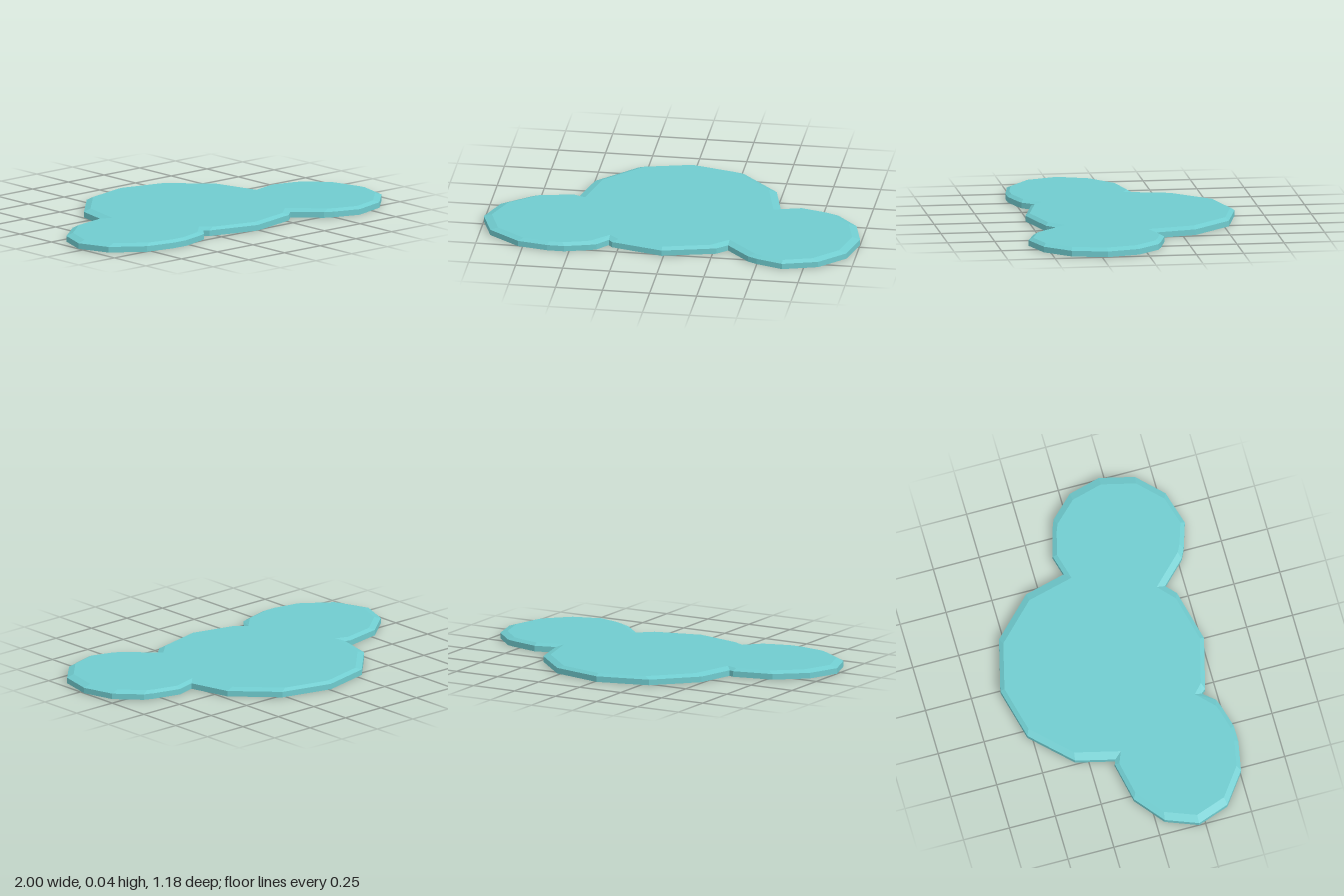
import * as THREE from 'three';

const WALL = 0.03, TOP = 0.043;            // wall height, total height
const BEVEL_X = 0.042, BEVEL_Z = 0.02;     // bevel width along each axis

// Outline in x, z: centre lobe back, +x lobe, centre lobe front, -x lobe
const OUTLINE = [
  [-0.01, -0.595], [0.27, -0.525], [0.475, -0.32], [0.53, -0.1],
  [0.64, -0.13], [0.79, -0.09], [0.84, -0.07], [0.955, 0.05], [1, 0.22], [0.955, 0.405],
  [0.825, 0.535], [0.64, 0.59], [0.5, 0.545], [0.45, 0.52], [0.325, 0.395],
  [0.27, 0.445], [-0.01, 0.515], [-0.285, 0.445], [-0.305, 0.42],
  [-0.36, 0.485], [-0.4, 0.5], [-0.525, 0.535], [-0.615, 0.535], [-0.775, 0.505],
  [-0.94, 0.385], [-1, 0.215], [-0.935, 0.045], [-0.78, -0.08], [-0.565, -0.125], [-0.54, -0.115],
  [-0.49, -0.32], [-0.29, -0.525],
].map(([x, z]) => new THREE.Vector2(x, z));

// Move each corner inward along its mitre, with a different width in x and z
function inset(points) {
  const scale = new THREE.Vector2(BEVEL_X, BEVEL_Z);
  const p = points.map((v) => v.clone().divide(scale));
  const n = p.length;
  const normal = (a, b) => new THREE.Vector2(a.y - b.y, b.x - a.x).normalize();
  return p.map((v, i) => {
    const n1 = normal(p[(i + n - 1) % n], v);
    const n2 = normal(v, p[(i + 1) % n]);
    const mitre = n1.clone().add(n2).divideScalar(Math.max(1 + n1.dot(n2), 0.4));
    return v.clone().add(mitre).multiply(scale);
  });
}

function slabGeometry() {
  const ring = (points, y) => points.map((v) => new THREE.Vector3(v.x, y, v.y));
  const inner = inset(OUTLINE);
  const rings = [ring(OUTLINE, 0), ring(OUTLINE, WALL), ring(inner, TOP)];
  const out = [];
  const tri = (...corners) => corners.forEach((c) => out.push(c.x, c.y, c.z));

  // Wall and bevel bands
  for (let r = 0; r < 2; r++) {
    const lo = rings[r], hi = rings[r + 1];
    for (let i = 0; i < lo.length; i++) {
      const j = (i + 1) % lo.length;
      tri(lo[j], lo[i], hi[i]);
      tri(lo[j], hi[i], hi[j]);
    }
  }

  // Flat caps, wound to face up or down
  const cap = (points, verts, up) => {
    for (const [a, b, c] of THREE.ShapeUtils.triangulateShape(points.slice(), [])) {
      const cross = points[b].clone().sub(points[a]).cross(points[c].clone().sub(points[a]));
      if ((cross < 0) === up) tri(verts[a], verts[b], verts[c]);
      else tri(verts[a], verts[c], verts[b]);
    }
  };
  cap(inner, rings[2], true);
  cap(OUTLINE, rings[0], false);

  const geometry = new THREE.BufferGeometry();
  geometry.setAttribute('position', new THREE.Float32BufferAttribute(out, 3));
  geometry.computeVertexNormals();
  return geometry;
}

export function createModel() {
  const group = new THREE.Group();
  group.name = 'puddle';
  const material = new THREE.MeshStandardMaterial({ color: 0x70cccf, flatShading: true });
  const slab = new THREE.Mesh(slabGeometry(), material);
  slab.name = 'puddleSlab';
  group.add(slab);
  return group;
}
